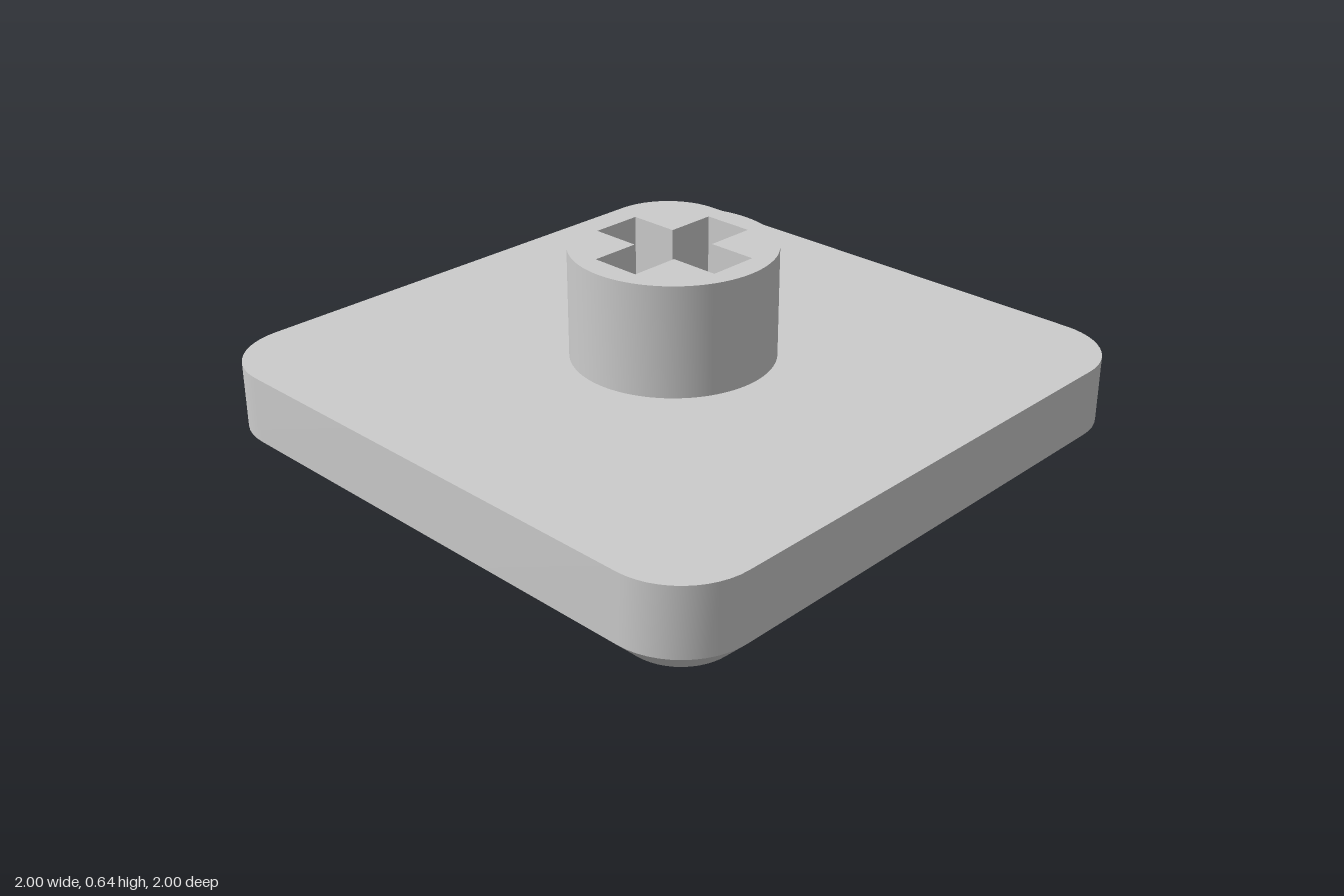
import * as THREE from 'three';
import { toCreasedNormals } from 'three/addons/utils/BufferGeometryUtils.js';

const PLATE_TOP = 0.285, CHAMFER = 0.07, CORNER = 0.23;
const STEM_TOP = 0.64, STEM_RADIUS = 0.32;

// Rounded-square ring at height y, inset from the outer edge
function ring(y, inset, steps = 12) {
  const points = [], centre = 1 - CORNER, radius = CORNER - inset;
  for (let c = 0; c < 4; c++) {
    const mid = (c + 0.5) * Math.PI / 2;
    for (let i = 0; i <= steps; i++) {
      const a = (c + i / steps) * Math.PI / 2;
      points.push([
        Math.sign(Math.cos(mid)) * centre + radius * Math.cos(a),
        y,
        -Math.sign(Math.sin(mid)) * centre - radius * Math.sin(a),
      ]);
    }
  }
  return points;
}

// Closed solid through a stack of rings, listed from bottom to top
function loft(rings) {
  const n = rings[0].length, last = rings.length - 1;
  const position = rings.flat(2), index = [];
  const bottom = n * rings.length, top = bottom + 1;
  position.push(0, rings[0][0][1], 0, 0, rings[last][0][1], 0);
  for (let i = 0; i < n; i++) {
    const j = (i + 1) % n;
    for (let r = 0; r < last; r++) {
      const a = r * n + i, b = r * n + j;
      index.push(a, b, b + n, a, b + n, a + n);
    }
    index.push(bottom, j, i, top, last * n + i, last * n + j);
  }
  const geometry = new THREE.BufferGeometry();
  geometry.setAttribute('position', new THREE.Float32BufferAttribute(position, 3));
  geometry.setIndex(index);
  return toCreasedNormals(geometry, 0.5);
}

// Round stem with a cross-shaped socket reaching down to the plate
function stemGeometry() {
  const shape = new THREE.Shape().absarc(0, 0, STEM_RADIUS, 0, Math.PI * 2, false);
  const l = 0.243, w = 0.082;
  const cross = [[l, -w], [l, w], [w, w], [w, l], [-w, l], [-w, w],
    [-l, w], [-l, -w], [-w, -w], [-w, -l], [w, -l], [w, -w]];
  shape.holes.push(new THREE.Path(cross.map(([x, y]) => new THREE.Vector2(x, y)).reverse()));
  const geometry = new THREE.ExtrudeGeometry(shape, {
    depth: STEM_TOP - PLATE_TOP, bevelEnabled: false, curveSegments: 64,
  });
  geometry.rotateX(-Math.PI / 2).translate(0, PLATE_TOP, 0);
  return toCreasedNormals(geometry, 0.5);
}

export function createModel() {
  const grey = new THREE.MeshStandardMaterial({ color: 0xcccccc });
  grey.name = 'light grey';

  const model = new THREE.Group();
  model.name = 'keycap';

  // Plate with rounded corners and a chamfered lower edge
  const plate = new THREE.Mesh(
    loft([ring(0, CHAMFER), ring(CHAMFER, 0), ring(PLATE_TOP, 0)]), grey);
  plate.name = 'plate';

  const stem = new THREE.Mesh(stemGeometry(), grey);
  stem.name = 'stem';

  model.add(plate, stem);
  return model;
}
